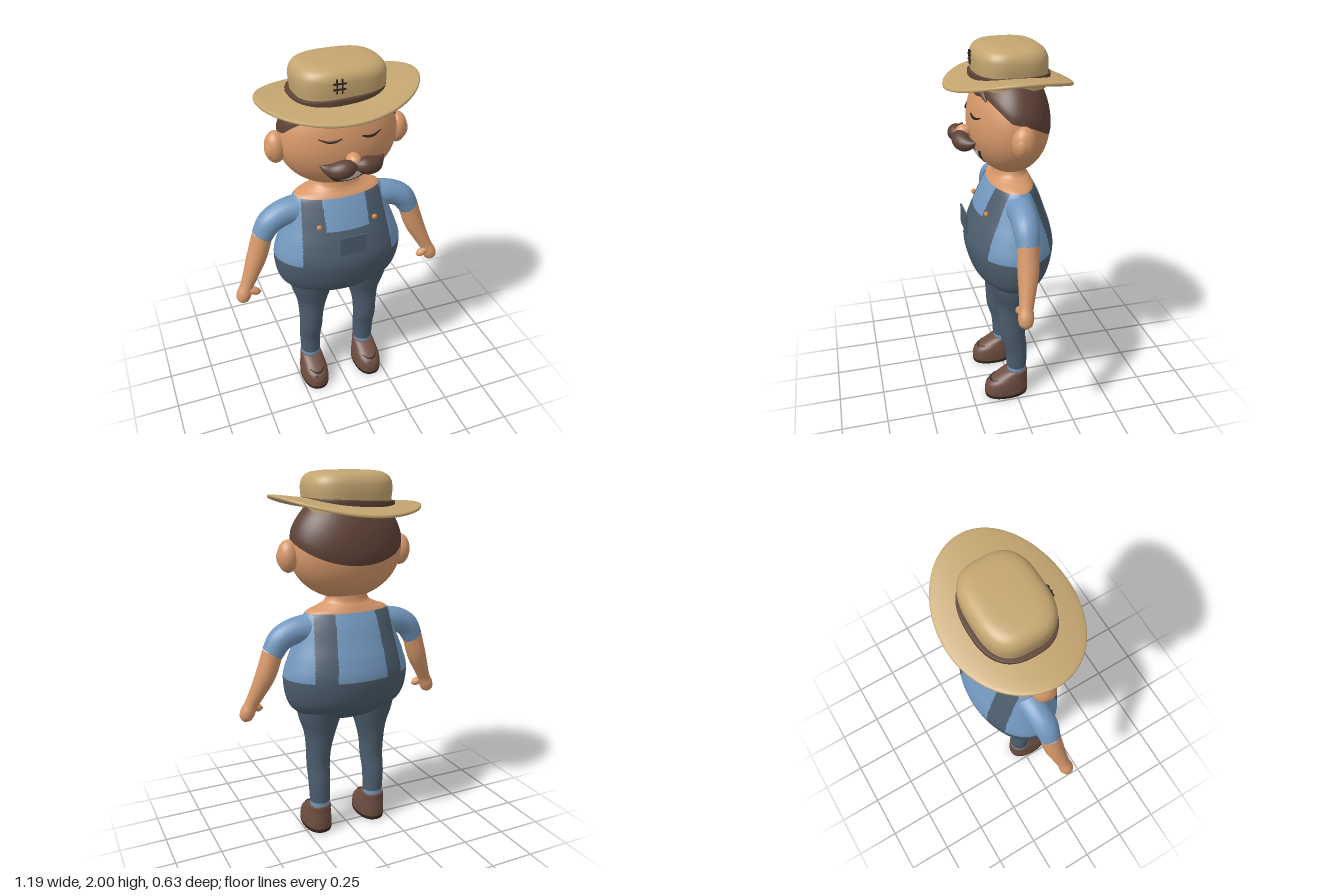
import * as THREE from 'three';
import { mergeVertices } from 'three/addons/utils/BufferGeometryUtils.js';

const material = (name, color, side = THREE.FrontSide) => {
  const m = new THREE.MeshStandardMaterial({ color, side });
  m.name = name;
  return m;
};

// Smooth values through a list of rows, t from 0 to 1
function rowCurve(rows) {
  const curve = new THREE.CubicInterpolant(rows.map((r, i) => i), rows.flat(), rows[0].length);
  return t => curve.evaluate(Math.min(t, 0.99999) * (rows.length - 1));
}

// Grid surface; u runs around (or left to right), v runs up the outside
function surface(nu, nv, fn, wrap, paint) {
  const pos = [], lists = [[], [], []], cols = wrap ? nu : nu + 1;
  for (let j = 0; j <= nv; j++) for (let i = 0; i < cols; i++) pos.push(...fn(i / nu, j / nv));
  const add = (...t) => {
    const c = [0, 1, 2].map(k => t.reduce((s, n) => s + pos[n * 3 + k], 0) / 3);
    lists[paint ? paint(...c) : 0].push(...t);
  };
  for (let j = 0; j < nv; j++) for (let i = 0; i < nu; i++) {
    const k = (i + 1) % cols;
    const a = j * cols + i, b = j * cols + k, c = a + cols, d = b + cols;
    add(a, c, b);
    add(b, c, d);
  }
  const g = new THREE.BufferGeometry();
  g.setAttribute('position', new THREE.Float32BufferAttribute(pos, 3));
  g.setIndex(lists.flat());
  if (paint) {
    let start = 0;
    lists.forEach((l, i) => { g.addGroup(start, l.length, i); start += l.length; });
  }
  g.computeVertexNormals();
  return g;
}

// Stack of rounded sections: [y, centre x, half width, front z, back z]
function loft(rows, { seg = 40, sub = 5, pow = 2, paint } = {}) {
  const at = rowCurve(rows);
  const bend = c => Math.sign(c) * Math.abs(c) ** (2 / pow);
  return surface(seg, sub * (rows.length - 1), (u, v) => {
    const [y, cx, rx, zf, zb] = at(v), a = u * Math.PI * 2;
    return [cx + rx * bend(Math.cos(a)), y, (zf + zb) / 2 + (zf - zb) / 2 * bend(Math.sin(a))];
  }, true, paint);
}

// Tube of varying thickness through [x, y, z, radius]
function sweep(points, n = 28, seg = 20) {
  const curve = new THREE.CatmullRomCurve3(points.map(p => new THREE.Vector3(p[0], p[1], p[2])));
  const radius = rowCurve(points.map(p => [p[3]]));
  const g = new THREE.TubeGeometry(curve, n, 1, seg);
  const p = g.attributes.position, v = new THREE.Vector3();
  for (let i = 0; i < p.count; i++) {
    const u = Math.floor(i / (seg + 1)) / n, c = curve.getPointAt(u);
    v.fromBufferAttribute(p, i).sub(c);
    v.multiplyScalar(Math.max(0.0008, radius(curve.getUtoTmapping(u))[0])).add(c);
    p.setXYZ(i, v.x, v.y, v.z);
  }
  g.deleteAttribute('uv');
  g.deleteAttribute('normal');
  const m = mergeVertices(g, 1e-5);
  m.computeVertexNormals();
  return m;
}

// Head: an ellipsoid with a taller upper half
const HX = 0.31, HZ = 0.205, HY = 1.6, UP = 0.3, DOWN = 0.257;
const headPoint = (a, e, k = 1) => [k * HX * Math.cos(e) * Math.cos(a),
  HY + k * (e > 0 ? UP : DOWN) * Math.sin(e), k * HZ * Math.cos(e) * Math.sin(a)];
const faceZ = (x, y) =>
  HZ * Math.sqrt(Math.max(0, 1 - (x / HX) ** 2 - ((y - HY) / (y > HY ? UP : DOWN)) ** 2));

export function createModel() {
  const skin = material('skin', 0xd6986a), shirt = material('shirt blue', 0x7398bf);
  const denim = material('denim', 0x4c5d6d), straw = material('straw', 0xc4a570);
  const hair = material('hair brown', 0x5e4236), leather = material('leather', 0x6d4e41);
  const dark = material('dark brown', 0x33231f, THREE.DoubleSide);
  const white = material('teeth', 0xd8d5cb, THREE.DoubleSide), copper = material('copper', 0xc98548);

  const model = new THREE.Group();
  const add = (name, geometry, mat, x = 0, y = 0, z = 0) => {
    const m = new THREE.Mesh(geometry, mat);
    m.name = name;
    m.position.set(x, y, z);
    model.add(m);
    return m;
  };
  const ball = (name, mat, [x, y, z], [rx, ry, rz]) =>
    add(name, new THREE.SphereGeometry(1, 32, 24), mat, x, y, z).scale.set(rx, ry, rz);

  // Torso with neck, shirt, bib and straps
  const paintTorso = (x, y, z) => {
    if (y > 1.285) return 0;
    if (y < 0.94) return 2;
    const t = (y - 0.94) / 0.345, w = Math.abs(x);
    if (w > 0.255 - 0.04 * t) return 1;
    if (z > 0) return y < 1.13 || w > 0.118 ? 2 : 1;
    return w > 0.145 - 0.03 * t ? 2 : 1;
  };
  add('torso', loft([
    [0.675, 0, 0, 0.01, 0.01], [0.685, 0, 0.1, 0.07, -0.06], [0.7, 0, 0.2, 0.12, -0.105],
    [0.75, 0, 0.3, 0.175, -0.165], [0.82, 0, 0.345, 0.21, -0.21], [0.94, 0, 0.358, 0.235, -0.235],
    [1.04, 0, 0.33, 0.215, -0.22], [1.13, 0, 0.295, 0.18, -0.19], [1.22, 0, 0.265, 0.14, -0.158],
    [1.285, 0, 0.235, 0.105, -0.125], [1.315, 0, 0.165, 0.085, -0.11],
    [1.345, 0, 0.12, 0.075, -0.095], [1.42, 0, 0.11, 0.07, -0.09],
  ], { seg: 256, sub: 6, paint: paintTorso }), [skin, shirt, denim]);
  add('bibPocket', new THREE.BoxGeometry(0.145, 0.11, 0.009), denim, 0, 1.073, 0.238);

  // Head and hair
  add('head', surface(64, 48, (u, v) => headPoint(u * Math.PI * 2, (v - 0.5) * Math.PI), true), skin);
  const hairline = z => z > 0.05 ? 1.67 + 1.0 * (z - 0.05) : z > 0 ? 1.66 + 0.2 * z : 1.66 + 0.3 * z - 1.5 * z * z;
  add('hair', surface(96, 24, (u, v) => {
    const a = u * Math.PI * 2;
    let e = 0.3;
    for (let i = 0; i < 30; i++) {
      const y = hairline(HZ * Math.cos(e) * Math.sin(a)) - HY;
      e = (e + Math.asin(y / (y > 0 ? UP : DOWN))) / 2;
    }
    return headPoint(a, e + (Math.PI / 2 - e) * v, 1 + 0.02 * Math.min(1, v * 12));
  }, true), hair);

  // Nose and smiling mouth
  ball('nose', skin, [0, 1.562, 0.222], [0.036, 0.034, 0.045]);
  const mouth = (w, top, bottom, lift) => surface(32, 10, (u, v) => {
    const s = u * 2 - 1, x = w * s;
    const yt = top + 0.02 * s * s, yb = bottom + (top + 0.02 - bottom) * Math.abs(s) ** 2.2;
    const y = yt + (yb - yt) * v;
    return [x, y, faceZ(x, y) + lift];
  }, false);
  add('mouth', mouth(0.13, 1.475, 1.388, 0.004), dark);
  add('teeth', mouth(0.112, 1.474, 1.406, 0.008), white);

  // Hat: brim, crown, band and stitched patch
  add('hatBrim', surface(96, 24, (u, v) => {
    const a = u * Math.PI * 2, b = (v - 0.5) * Math.PI;
    const r = 0.4 + 0.6 * Math.sqrt(Math.max(0, Math.cos(b)));
    const x = 0.408 * r * Math.cos(a), z = 0.317 * r * Math.sin(a);
    const h = 0.012 * Math.sign(b) * Math.abs(Math.sin(b)) ** 0.4;
    return [x, 1.835 + 0.067 * x + 0.1 * x * x - 0.45 * z * z + h, z];
  }, true), straw);
  add('hatCrown', loft([
    [1.8, 0, 0.218, 0.168, -0.178], [1.86, 0, 0.224, 0.172, -0.182], [1.91, 0, 0.228, 0.174, -0.184],
    [1.95, 0, 0.222, 0.17, -0.178], [1.98, 0, 0.197, 0.147, -0.155], [1.995, 0, 0.14, 0.1, -0.11],
    [2.0, 0, 0, 0, 0],
  ], { seg: 80, pow: 2.9 }), straw);
  add('hatBand', loft([
    [-0.03, -0.008, 0.236, 0.186, -0.202], [0.006, -0.008, 0.239, 0.188, -0.204],
    [0.012, -0.008, 0.232, 0.182, -0.196], [0.012, -0.008, 0.2, 0.15, -0.16],
  ], { seg: 80, pow: 2.5 }), hair, 0, 1.846, 0).rotation.z = 0.05;
  for (const s of [-1, 1]) {
    add('stitch', new THREE.BoxGeometry(0.007, 0.068, 0.008), dark, -0.053 + s * 0.013, 1.917, 0.174);
    add('stitch', new THREE.BoxGeometry(0.062, 0.007, 0.008), dark, -0.053, 1.917 + s * 0.013, 0.175);
  }

  // Mirrored parts, s = +1 is the model's left
  for (const s of [1, -1]) {
    const side = s > 0 ? 'left' : 'right';
    const mirrored = pts => pts.map(([x, ...rest]) => [s * x, ...rest]);
    const onFace = (pts, lift) => mirrored(pts.map(([x, y, r]) => [x, y, faceZ(x, y) + lift, r]));

    // Face details
    add(side + 'Eyelid', sweep(onFace([[0.05, 1.668, 0.003], [0.08, 1.658, 0.006],
      [0.115, 1.656, 0.006], [0.16, 1.67, 0.002]], 0.002), 16, 8), dark);
    add(side + 'Eyebrow', sweep(onFace([[0.045, 1.768, 0.006], [0.075, 1.775, 0.016],
      [0.12, 1.778, 0.017], [0.172, 1.748, 0.004]], 0.008), 20, 12), hair);
    add(side + 'Moustache', sweep(mirrored([[0, 1.545, 0.245, 0.022], [0.045, 1.54, 0.255, 0.043],
      [0.095, 1.53, 0.243, 0.042], [0.135, 1.535, 0.218, 0.024], [0.167, 1.552, 0.2, 0.002]])), hair);
    ball(side + 'Ear', skin, [s * 0.322, 1.582, 0], [0.054, 0.083, 0.06]);
    ball(side + 'EarInner', skin, [s * 0.34, 1.577, 0.012], [0.038, 0.055, 0.04]);

    // Arm and hand
    add(side + 'Sleeve', sweep(mirrored([[0.17, 1.195, -0.01, 0.085], [0.24, 1.2, -0.008, 0.075],
      [0.31, 1.19, -0.005, 0.069], [0.375, 1.155, 0, 0.066], [0.422, 1.083, 0.003, 0.057]])), shirt);
    add(side + 'Forearm', sweep(mirrored([[0.418, 1.092, 0.003, 0.055], [0.458, 0.97, 0.012, 0.054],
      [0.506, 0.865, 0.03, 0.042], [0.535, 0.805, 0.042, 0.036], [0.553, 0.765, 0.048, 0.04],
      [0.566, 0.728, 0.052, 0.031], [0.571, 0.71, 0.054, 0.002]]), 40), skin);
    add(side + 'Thumb', sweep(mirrored([[0.55, 0.79, 0.05, 0.022], [0.515, 0.785, 0.06, 0.022],
      [0.482, 0.772, 0.064, 0.02], [0.462, 0.768, 0.065, 0.002]]), 18, 14), skin);

    // Overall button
    ball(side + 'Button', copper, [s * 0.153, 1.158, 0.15], [0.015, 0.015, 0.012]);

    // Leg, sock and shoe
    const c = s * 0.17;
    add(side + 'TrouserLeg', loft([
      [0.188, s * 0.168, 0.058, 0.045, -0.068], [0.3, c, 0.061, 0.053, -0.07],
      [0.4, s * 0.168, 0.065, 0.08, -0.06], [0.5, s * 0.165, 0.07, 0.088, -0.07],
      [0.6, s * 0.158, 0.088, 0.097, -0.086], [0.7, s * 0.158, 0.118, 0.128, -0.115],
      [0.8, s * 0.16, 0.13, 0.155, -0.145],
    ]), denim);
    add(side + 'Sock', loft([[0.14, c, 0.055, 0.042, -0.066], [0.192, c, 0.055, 0.042, -0.066]]), shirt);
    add(side + 'Shoe', loft([
      [0.02, c, 0.077, 0.174, -0.073], [0.06, c, 0.077, 0.173, -0.075], [0.095, c, 0.074, 0.157, -0.074],
      [0.125, c, 0.068, 0.112, -0.072], [0.16, c, 0.061, 0.052, -0.071], [0.163, c, 0.05, 0.04, -0.06],
    ], { pow: 2.3 }), leather);
    add(side + 'Sole', loft([
      [0, c, 0, 0.05, 0.05], [0, c, 0.066, 0.16, -0.06], [0.012, c, 0.077, 0.174, -0.073],
      [0.024, c, 0.077, 0.175, -0.074],
    ], { pow: 2.3 }), dark);
    add(side + 'Lace', sweep([[c - 0.045, 0.118, 0.107, 0.003], [c - 0.015, 0.108, 0.14, 0.005],
      [c + 0.015, 0.108, 0.14, 0.005], [c + 0.045, 0.116, 0.107, 0.003]], 14, 8), dark);
    add(side + 'LaceEnd', sweep([[c - 0.03, 0.093, 0.15, 0.002], [c - 0.02, 0.09, 0.158, 0.004],
      [c - 0.008, 0.094, 0.16, 0.002]], 8, 8), dark);
  }
  return model;
}
